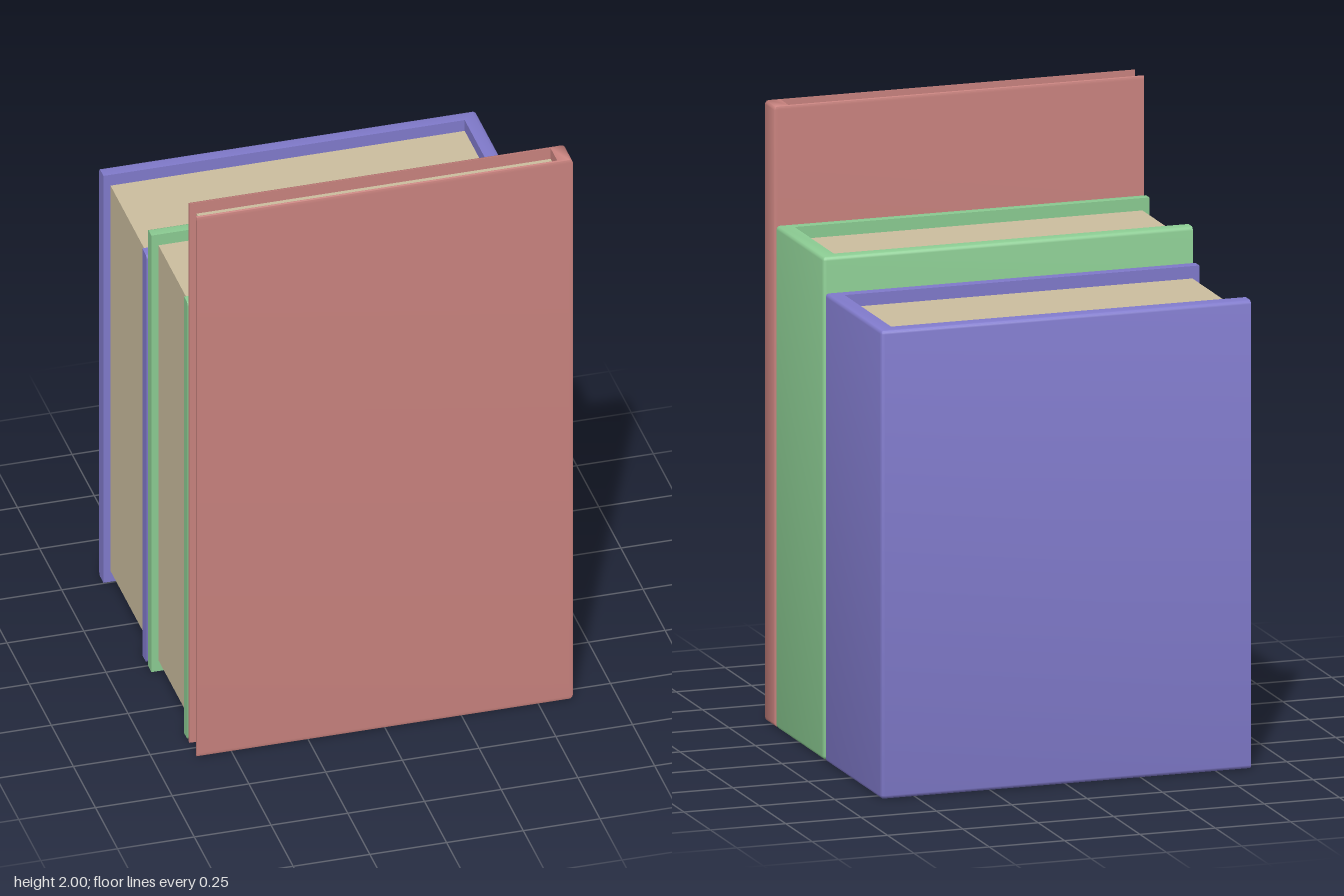
import * as THREE from 'three';
import { toCreasedNormals } from 'three/addons/utils/BufferGeometryUtils.js';

const X = 0.613;        // half width of a book
const HALF = 0.27;      // half depth of a book before scaling
const BOARD = 0.049;    // cover thickness
const BEVEL = 0.012;    // rounding of the outer cover edges
const RECESS = 0.04;    // pages set back from the cover's top and bottom
const SEG = 3;          // segments of each rounding

// U-shaped cover, extruded upwards, with its outer edges rounded at both ends
function coverGeometry(height) {
  const coreX = X - BEVEL, coreZ = HALF - BEVEL, inner = HALF - BOARD;
  const s = new THREE.Shape();
  s.moveTo(-X, -HALF);
  s.lineTo(coreX, -HALF);
  s.absarc(coreX, -coreZ, BEVEL, -Math.PI / 2, 0, false);
  s.lineTo(X, coreZ);
  s.absarc(coreX, coreZ, BEVEL, 0, Math.PI / 2, false);
  s.lineTo(-X, HALF);
  s.lineTo(-X, inner);
  s.lineTo(X - BOARD, inner);
  s.lineTo(X - BOARD, -inner);
  s.lineTo(-X, -inner);

  const steps = 2 * SEG + 1;
  const g = new THREE.ExtrudeGeometry(s, { depth: steps, steps, bevelEnabled: false, curveSegments: SEG });
  g.rotateX(-Math.PI / 2);

  // Each layer moves to its height, and outer points are drawn in along a quarter circle
  const p = g.attributes.position;
  for (let i = 0; i < p.count; i++) {
    const layer = Math.round(p.getY(i));
    const k = Math.min(layer, steps - layer);
    const a = (k / SEG) * Math.PI / 2;
    const rise = BEVEL * (1 - Math.cos(a));
    const keep = Math.sin(a);
    const x = p.getX(i), z = p.getZ(i);
    const cx = Math.min(x, coreX), cz = THREE.MathUtils.clamp(z, -coreZ, coreZ);
    p.setXYZ(i, cx + (x - cx) * keep, layer <= SEG ? rise : height - rise, cz + (z - cz) * keep);
  }
  return toCreasedNormals(g, 0.7);
}

// One book: cover plus page block, squeezed to its depth
function makeBook({ name, color, height, z0, z1 }) {
  const book = new THREE.Group();
  book.name = name;

  const cover = new THREE.Mesh(coverGeometry(height), new THREE.MeshStandardMaterial({ color }));
  cover.name = 'cover';

  const left = -0.59, right = X - BOARD + 0.002;
  const pages = new THREE.Mesh(
    new THREE.BoxGeometry(right - left, height - 2 * RECESS, 2 * (HALF - BOARD) + 0.004),
    new THREE.MeshStandardMaterial({ color: 0xcbbd9e })
  );
  pages.position.set((left + right) / 2, height / 2, 0);
  pages.name = 'pages';

  book.add(cover, pages);
  book.scale.z = (z1 - z0) / (2 * HALF);
  book.position.z = (z0 + z1) / 2;
  return book;
}

export function createModel() {
  const model = new THREE.Group();
  model.name = 'books';
  [
    { name: 'thinBook', color: 0xc8827e, height: 2, z0: 0.46, z1: 0.552 },
    { name: 'middleBook', color: 0x8bcb92, height: 1.62, z0: -0.002, z1: 0.45 },
    { name: 'thickBook', color: 0x807acb, height: 1.51, z0: -0.552, z1: -0.015 },
  ].forEach((b) => model.add(makeBook(b)));
  return model;
}
